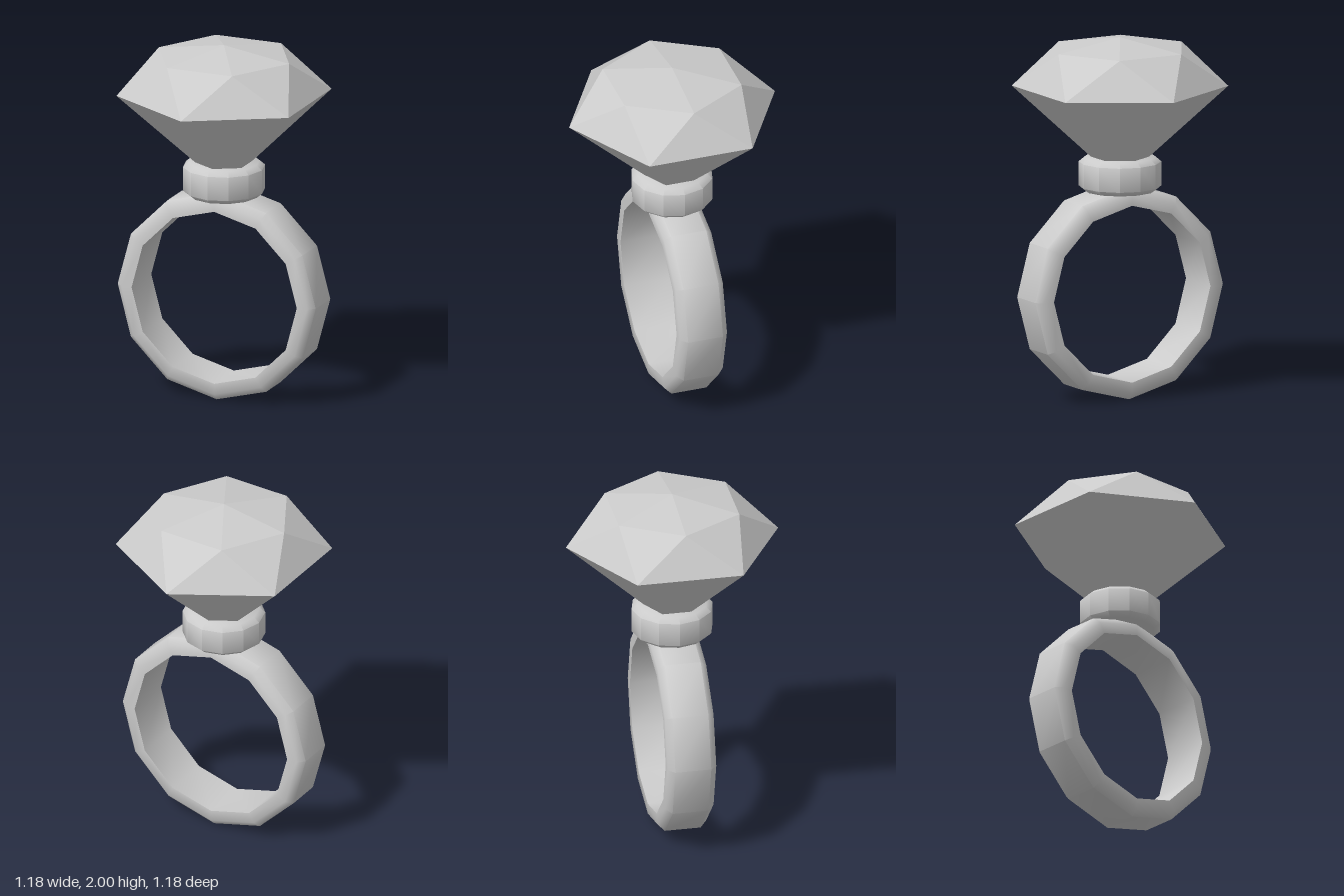
import * as THREE from 'three';
import { toCreasedNormals } from 'three/addons/utils/BufferGeometryUtils.js';

const SIDES = 12;

// Twelve-sided turned part with softened bevels
function turned(name, profile, material) {
  const points = profile.map(([r, y]) => new THREE.Vector2(r, y));
  const geometry = toCreasedNormals(new THREE.LatheGeometry(points, SIDES), 0.9);
  const mesh = new THREE.Mesh(geometry, material);
  mesh.name = name;
  return mesh;
}

// Six-sided cut stone: pavilion, crown and low pointed table
function gemGeometry() {
  const corner = (r, y, degrees) => {
    const a = THREE.MathUtils.degToRad(degrees);
    return new THREE.Vector3(r * Math.sin(a), y, r * Math.cos(a));
  };
  const girdle = (i) => corner(0.592, 1.73, i * 60);
  const table = (i) => corner(0.388, 1.94, i * 60 + 30);
  const apex = new THREE.Vector3(0, 2, 0);
  const culet = new THREE.Vector3(0, 1.19, 0);
  const points = [];
  for (let i = 0; i < 6; i++) {
    points.push(culet, girdle(i + 1), girdle(i));
    points.push(girdle(i), girdle(i + 1), table(i));
    points.push(table(i), girdle(i + 1), table(i + 1));
    points.push(apex, table(i), table(i + 1));
  }
  const geometry = new THREE.BufferGeometry().setFromPoints(points);
  geometry.computeVertexNormals();
  return geometry;
}

export function createModel() {
  const model = new THREE.Group();
  model.name = 'gemRing';
  const metal = new THREE.MeshStandardMaterial({ color: 0xcccccc });
  const stone = new THREE.MeshStandardMaterial({ color: 0xcccccc, flatShading: true });

  // Finger band, bevelled on its outer edges and plain inside
  const band = turned('band', [
    [0.492, -0.135], [0.553, -0.135], [0.59, -0.1],
    [0.59, 0.1], [0.553, 0.135], [0.492, 0.135], [0.492, -0.135],
  ], metal);
  band.rotation.x = Math.PI / 2;
  band.position.y = 0.592;

  // Collar holding the stone
  const collar = turned('collar', [
    [0, 1.15], [0.195, 1.15], [0.226, 1.176],
    [0.226, 1.31], [0.195, 1.336], [0, 1.336],
  ], metal);

  const gem = new THREE.Mesh(gemGeometry(), stone);
  gem.name = 'gem';

  model.add(band, collar, gem);
  return model;
}
